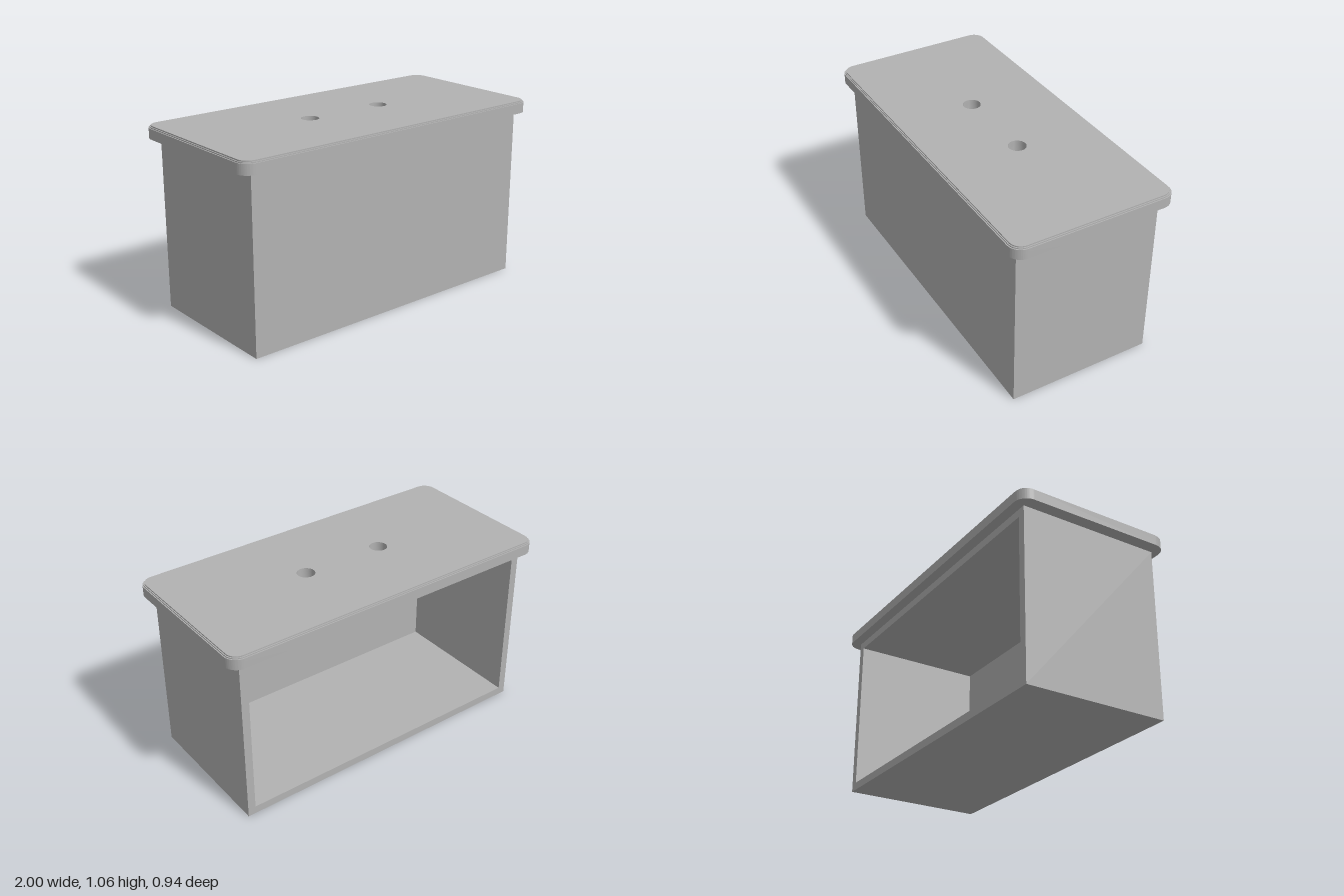
import * as THREE from 'three';
import { mergeGeometries, toCreasedNormals } from 'three/addons/utils/BufferGeometryUtils.js';

const W = 1.86, H = 0.985, D = 0.833, T = 0.045;   // cabinet size and wall thickness
const HOLE_X = 0.245, HOLE_R = 0.05;

// box without its back (-z) face
function backlessBox(w, h, d) {
  const g = new THREE.BoxGeometry(w, h, d);
  g.setIndex(Array.from(g.index.array).slice(0, 30));
  g.clearGroups();
  return g;
}

// turn a geometry inside out
function insideOut(g) {
  g.setIndex(Array.from(g.index.array).reverse());
  const n = g.attributes.normal;
  for (let i = 0; i < n.count; i++) n.setXYZ(i, -n.getX(i), -n.getY(i), -n.getZ(i));
  return g;
}

function rect(ShapeType, w, h) {
  const x = w / 2, y = h / 2;
  return new ShapeType([[-x, -y], [x, -y], [x, y], [-x, y]].map(p => new THREE.Vector2(...p)));
}

// hollow cabinet, open at the back
function cabinetGeometry() {
  const outer = backlessBox(W, H, D);
  const inner = insideOut(backlessBox(W - 2 * T, H - 2 * T, D - T)).translate(0, 0, -T / 2);
  const frame = rect(THREE.Shape, W, H);
  frame.holes.push(rect(THREE.Path, W - 2 * T, H - 2 * T));
  const rim = new THREE.ShapeGeometry(frame).rotateY(Math.PI).translate(0, 0, -D / 2);
  return mergeGeometries([outer, inner, rim]).translate(0, H / 2, 0.004);
}

// round-cornered slab layer with two round holes
function slabGeometry(inset, y0, y1) {
  const x = 1 - inset, z = 0.469 - inset, r = 0.075 - inset;
  const s = new THREE.Shape();
  s.moveTo(x, -z + r);
  s.absarc(x - r, z - r, r, 0, Math.PI / 2);
  s.absarc(-x + r, z - r, r, Math.PI / 2, Math.PI);
  s.absarc(-x + r, -z + r, r, Math.PI, Math.PI * 1.5);
  s.absarc(x - r, -z + r, r, Math.PI * 1.5, Math.PI * 2);
  for (const side of [-1, 1]) {
    const hole = new THREE.Path();
    hole.absarc(side * HOLE_X, 0, HOLE_R, 0, Math.PI * 2, true);
    s.holes.push(hole);
  }
  const g = new THREE.ExtrudeGeometry(s, { depth: y1 - y0, bevelEnabled: false, curveSegments: 16 });
  g.rotateX(-Math.PI / 2).translate(0, y0, 0);
  return toCreasedNormals(g, 0.6);
}

export function createModel() {
  const group = new THREE.Group();
  const grey = new THREE.MeshStandardMaterial({ color: 0xb2b2b2 });
  grey.name = 'grey';

  const add = (name, geometry) => {
    const mesh = new THREE.Mesh(geometry, grey);
    mesh.name = name;
    group.add(mesh);
  };

  add('cabinet', cabinetGeometry());
  // countertop with a finely stepped upper edge
  add('countertop', slabGeometry(0, H, 1.043));
  add('countertopStep', slabGeometry(0.006, 1.043, 1.049));
  add('countertopSurface', slabGeometry(0.012, 1.049, 1.056));
  return group;
}
